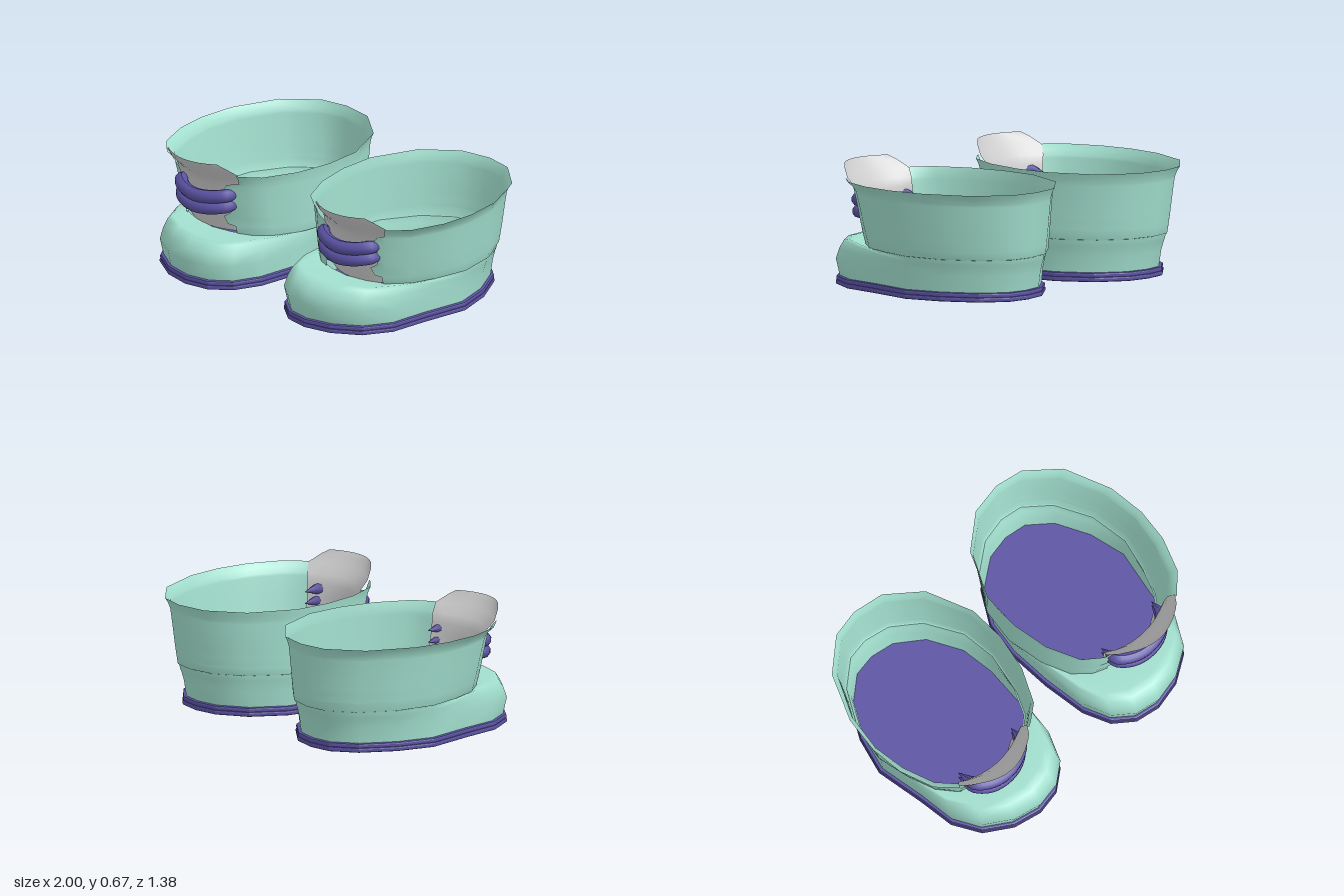
import * as THREE from 'three';

const paint = (color) => new THREE.MeshStandardMaterial({ color, side: THREE.DoubleSide });
const lerp = THREE.MathUtils.lerp;

// Plan outlines [x, z] of one boot, from the toe round the outer side; the three match point by point
const SOLE = [[.44, .69], [.6, .655], [.75, .56], [.84, .41], [.87, .2], [.92, -.08], [.865, -.29], [.76, -.48], [.63, -.585],
  [.5, -.605], [.36, -.58], [.205, -.47], [.095, -.28], [.065, -.08], [.08, .18], [.12, .43], [.19, .58], [.3, .665]];
const ANKLE = [[.5, .42], [.63, .4], [.74, .355], [.82, .26], [.88, .1], [.92, -.08], [.885, -.3], [.775, -.5], [.635, -.615],
  [.51, -.635], [.36, -.605], [.205, -.49], [.085, -.29], [.06, -.09], [.1, .12], [.17, .28], [.26, .36], [.37, .4]];
const RIM = [[.53, .48], [.68, .475], [.81, .44], [.91, .34], [.98, .15], [1, -.04], [.975, -.25], [.865, -.51], [.69, -.66],
  [.53, -.69], [.35, -.66], [.165, -.51], [.055, -.25], [.05, -.04], [.09, .17], [.18, .36], [.27, .43], [.38, .475]];
const N = SOLE.length;

const outline = (pts) => new THREE.CatmullRomCurve3(pts.map(([x, z]) => new THREE.Vector3(x, 0, z)), true, 'catmullrom', 0.5);
const sole = outline(SOLE), ankle = outline(ANKLE), rim = outline(RIM);
const at = (curve, i) => curve.getPoint((((i % N) + N) % N) / N);
// Moves a point towards the middle of the boot by d
function inset(p, d) {
  const v = new THREE.Vector3(.49 - p.x, 0, .02 - p.z).normalize();
  return p.clone().addScaledVector(v, d);
}

// Skin over rows of points, optionally closed round each row
function skin(rows, closed) {
  const n = rows[0].length, index = [];
  for (let j = 0; j < rows.length - 1; j++) {
    for (let i = 0; i < (closed ? n : n - 1); i++) {
      const k = (i + 1) % n;
      const a = j * n + i, b = j * n + k, c = a + n, d = b + n;
      index.push(a, b, c, b, d, c);
    }
  }
  const g = new THREE.BufferGeometry().setFromPoints(rows.flat());
  g.setIndex(index);
  g.computeVertexNormals();
  return g;
}

// Flat sole layer with a rounded rim
function soleLayer(y, shrink) {
  const pts = Array.from({ length: N }, (_, i) => {
    const p = inset(at(sole, i), .008 + shrink);
    return new THREE.Vector2(p.x, -p.z);
  });
  const g = new THREE.ExtrudeGeometry(new THREE.Shape(pts), {
    depth: .01, bevelThickness: .0085, bevelSize: .008, bevelSegments: 2,
  });
  return g.rotateX(-Math.PI / 2).translate(0, y + .0085, 0);
}

// Foot part: upright round the heel, domed over the toes
function foot() {
  const rows = [[], [], [], [], [], []];
  for (let s = 0; s < N; s++) {
    const a = inset(at(sole, s), .022), b = at(ankle, s);
    const top = inset(b, .008);
    const w = THREE.MathUtils.smoothstep(a.z, .12, .5);
    const put = (r, t, y, out = 0) => {
      const p = inset(a.clone().lerp(top, t), -out);
      p.y = y;
      rows[r].push(p);
    };
    put(0, 0, .045);
    put(1, lerp(.35, 0, w), .14, .022 * w);
    put(2, lerp(.7, .06, w), lerp(.19, .2, w), .012 * w);
    put(3, lerp(.85, .15, w), lerp(.205, .245, w));
    put(4, lerp(.93, .34, w), lerp(.22, .254, w));
    put(5, 1, lerp(.232, .238, w));
  }
  return skin(rows, true);
}

// Shaft: open at the front, with notched edges
// row: y, flare, outer edge index, inner edge index, inset
function shaft() {
  const spec = [
    [.232, 0, 1.85, 16.7, .008], [.235, 0, 1.85, 16.7, 0], [.28, .1, 1.8, 16.7, 0], [.288, .12, 1.45, 17.1, 0],
    [.33, .2, 1.25, 17.25, 0], [.36, .26, 1.6, 16.9, 0], [.43, .38, 1.6, 16.9, 0], [.5, .51, 1.45, 17.1, 0],
    [.53, .57, 1.6, 16.9, 0], [.545, .6, 1.95, 16.3, 0], [.575, .77, 1.97, 16.25, 0], [.6, 1, 1.97, 16.25, 0],
  ];
  return skin(spec.map(([y, f, from, to, d]) => {
    const steps = [from, ...Array.from({ length: 15 }, (_, s) => s + 2), to];
    return steps.map((i) => {
      const p = inset(at(ankle, i).lerp(at(rim, i), f), d);
      p.y = y;
      return p;
    });
  }), false);
}

// Tongue: curved panel behind the opening, leaning forward at the top
// row: y, centre x, half width, centre z, edge z
function tongue() {
  const spec = [
    [.235, .53, .2, .405, .335], [.33, .53, .21, .425, .36], [.43, .535, .22, .437, .38], [.5, .54, .225, .447, .388],
    [.55, .545, .235, .475, .397], [.6, .55, .255, .525, .43], [.645, .55, .215, .557, .485], [.67, .55, .18, .578, .515],
  ];
  return skin(spec.map(([y, x, w, zc, ze]) => Array.from({ length: 9 }, (_, s) => {
    const u = s / 4 - 1;
    return new THREE.Vector3(x + u * w, y, lerp(zc, ze, u * u));
  })), false);
}

// Strap: rounded band across the opening whose pointed ends pass inside
function strap(y, back) {
  const path = new THREE.CatmullRomCurve3([
    [.335, .005, .345], [.355, .012, .44 - back], [.43, 0, .492], [.53, -.008, .512],
    [.63, 0, .492], [.7, .012, .44 - back], [.72, .005, .335],
  ].map(([x, dy, z]) => new THREE.Vector3(x, y + dy, z)));
  const segs = 28, sides = 10;
  const g = new THREE.TubeGeometry(path, segs, .037, sides);
  const pos = g.attributes.position, v = new THREE.Vector3();
  for (let i = 0; i < pos.count; i++) {
    const t = Math.floor(i / (sides + 1)) / segs;
    const k = Math.min(1, Math.min(t, 1 - t) * 6 + .02);
    const c = path.getPointAt(t);
    v.fromBufferAttribute(pos, i).sub(c).multiplyScalar(k).add(c);
    pos.setXYZ(i, v.x, v.y, v.z);
  }
  g.computeVertexNormals();
  return g;
}

// Mirrors a geometry across x = 0 and keeps its faces outward
function mirrored(geometry) {
  const g = geometry.clone().scale(-1, 1, 1);
  const idx = g.index ? Array.from(g.index.array) : Array.from({ length: g.attributes.position.count }, (_, i) => i);
  for (let i = 0; i < idx.length; i += 3) [idx[i], idx[i + 1]] = [idx[i + 1], idx[i]];
  g.setIndex(idx);
  return g;
}

export function createModel() {
  const teal = paint(0xa2dfce), purple = paint(0x5a52a2), grey = paint(0xcccccc);
  const parts = [
    ['soleBottom', soleLayer(0, 0), purple],
    ['soleTop', soleLayer(.023, .003), purple],
    ['foot', foot(), teal],
    ['shaft', shaft(), teal],
    ['tongue', tongue(), grey],
    ['upperStrap', strap(.457, 0), purple],
    ['lowerStrap', strap(.392, .012), purple],
  ];
  const model = new THREE.Group();
  model.name = 'boots';
  for (const side of ['left', 'right']) {
    const boot = new THREE.Group();
    boot.name = side + 'Boot';
    for (const [name, geometry, material] of parts) {
      const mesh = new THREE.Mesh(side === 'left' ? geometry : mirrored(geometry), material);
      mesh.name = name;
      boot.add(mesh);
    }
    model.add(boot);
  }
  return model;
}
